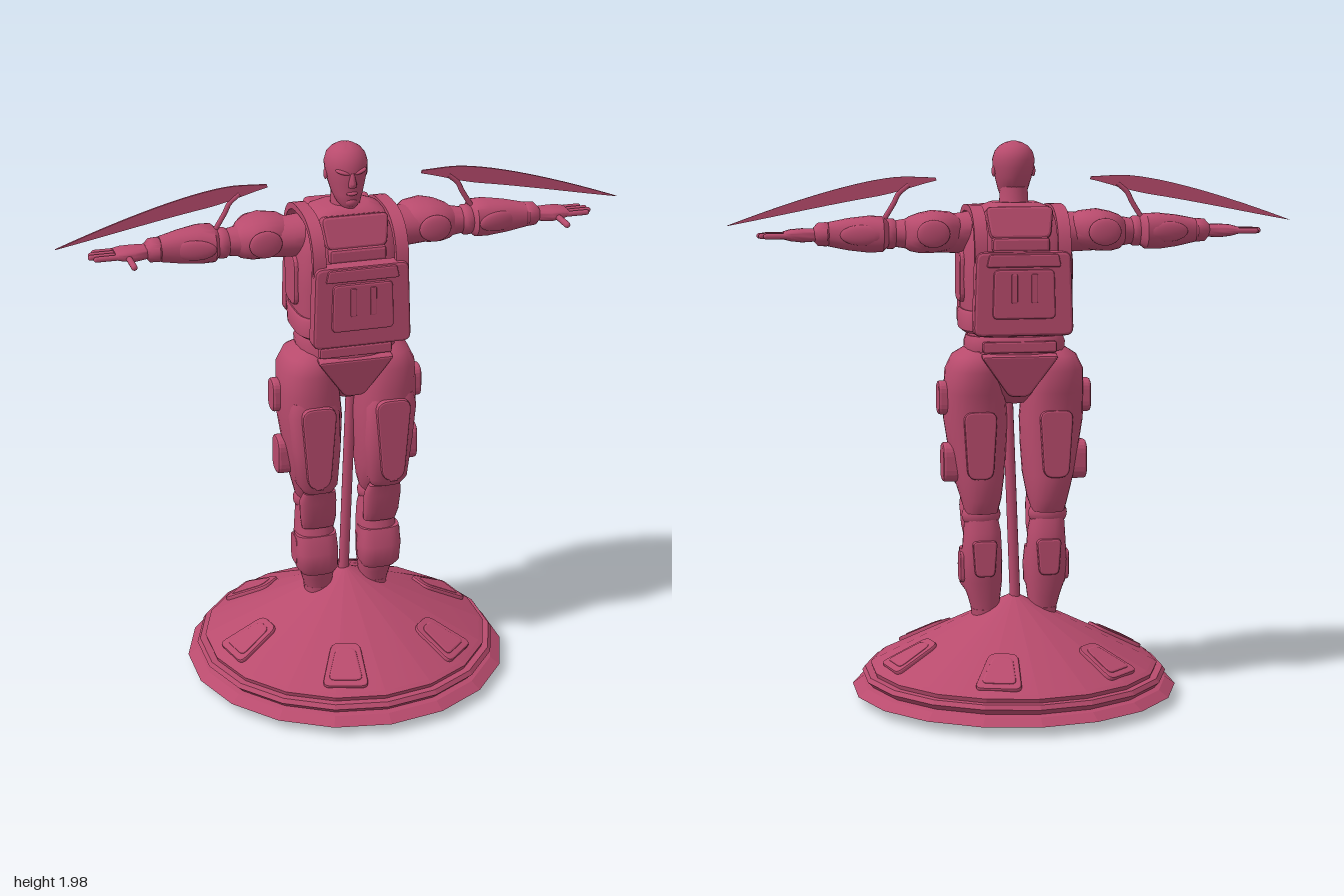
import * as THREE from 'three';
import { toCreasedNormals } from 'three/addons/utils/BufferGeometryUtils.js';

const crimson = new THREE.MeshStandardMaterial({ color: 0xb84b6d, side: THREE.DoubleSide });
crimson.name = 'crimson';

function add(parent, name, geometry, x = 0, y = 0, z = 0, rx = 0, ry = 0, rz = 0) {
  const mesh = new THREE.Mesh(geometry, crimson);
  mesh.name = name;
  mesh.position.set(x, y, z);
  mesh.rotation.set(rx, ry, rz);
  parent.add(mesh);
  return mesh;
}

// Closed skin over superellipse sections [along, cx, cz, rx, rz], in rising order of the first value
function loft(sections, power = 2, segments = 24) {
  const pos = [], index = [], n = segments;
  const bend = (v) => Math.sign(v) * Math.abs(v) ** (2 / power);
  for (const [y, cx, cz, rx, rz] of sections) {
    for (let j = 0; j < n; j++) {
      const t = (j / n) * Math.PI * 2;
      pos.push(cx + rx * bend(Math.cos(t)), y, cz + rz * bend(Math.sin(t)));
    }
  }
  for (let i = 0; i < sections.length - 1; i++) {
    for (let j = 0; j < n; j++) {
      const a = i * n + j, b = i * n + ((j + 1) % n);
      index.push(a, a + n, b, b, a + n, b + n);
    }
  }
  const top = (sections.length - 1) * n;
  for (let j = 1; j < n - 1; j++) index.push(0, j, j + 1, top, top + j + 1, top + j);
  const g = new THREE.BufferGeometry();
  g.setAttribute('position', new THREE.Float32BufferAttribute(pos, 3));
  g.setIndex(index);
  return toCreasedNormals(g, 0.8);
}

// Bevelled plate with rounded corners, back face on z = 0
function panel(bottom, top, height, depth, round = 0.02) {
  const p = [[-bottom, -height], [bottom, -height], [top, height], [-top, height]]
    .map(([x, y]) => new THREE.Vector2(x / 2, y / 2));
  const shape = new THREE.Shape();
  p.forEach((c, i) => {
    const before = c.clone().add(p[(i + 3) % 4].clone().sub(c).setLength(round));
    const after = c.clone().add(p[(i + 1) % 4].clone().sub(c).setLength(round));
    if (i) shape.lineTo(before.x, before.y); else shape.moveTo(before.x, before.y);
    shape.quadraticCurveTo(c.x, c.y, after.x, after.y);
  });
  shape.closePath();
  const b = Math.min(0.01, depth / 3);
  return new THREE.ExtrudeGeometry(shape, {
    depth: depth - b, bevelThickness: b, bevelSize: b, bevelOffset: -b, bevelSegments: 2, curveSegments: 5,
  });
}

function ball(r, sx = 1, sy = 1, sz = 1) {
  return new THREE.SphereGeometry(r, 20, 14).scale(sx, sy, sz);
}

function buildBase(root) {
  const base = new THREE.Group();
  base.name = 'base';
  // shallow dish below, stepped rim, cone above
  const profile = [[0, 0.19], [0.58, 0.035], [0.545, 0.06], [0.525, 0.065], [0.545, 0.085], [0.535, 0.1],
    [0.51, 0.1], [0.515, 0.115], [0.5, 0.125], [0, 0.372]].map(([r, y]) => new THREE.Vector2(r, y));
  add(base, 'coneDisc', toCreasedNormals(new THREE.LatheGeometry(profile, 18), 0.2));
  for (let i = 0; i < 6; i++) {
    const sector = new THREE.Group();
    sector.name = 'hatch';
    sector.rotation.y = THREE.MathUtils.degToRad(44 + 60 * i);
    add(sector, 'hatchFrame', panel(0.165, 0.1, 0.185, 0.018, 0.03), 0, 0.169, 0.39, -1.11);
    add(sector, 'hatchCover', panel(0.125, 0.07, 0.14, 0.022, 0.025), 0, 0.169, 0.39, -1.11);
    base.add(sector);
  }
  // support rod between the legs
  const path = new THREE.LineCurve3(new THREE.Vector3(0.022, 1.08, 0), new THREE.Vector3(-0.016, 0.005, -0.01));
  add(base, 'supportRod', new THREE.TubeGeometry(path, 1, 0.019, 12));
  root.add(base);
}

function buildHead(root) {
  add(root, 'neck', loft([[1.7, 0, -0.01, 0.065, 0.065], [1.75, 0, 0, 0.052, 0.055], [1.82, 0, 0, 0.048, 0.05]]));
  add(root, 'head', loft([[1.762, 0, 0.05, 0.022, 0.025], [1.78, 0, 0.038, 0.04, 0.047], [1.81, 0, 0.02, 0.053, 0.067],
    [1.85, 0, 0.012, 0.064, 0.078], [1.885, 0, 0.009, 0.072, 0.083], [1.913, 0, 0.006, 0.074, 0.083],
    [1.94, 0, 0.004, 0.066, 0.074], [1.959, 0, 0.004, 0.05, 0.056], [1.971, 0, 0.003, 0.028, 0.032],
    [1.976, 0, 0.003, 0.008, 0.01]]));
  add(root, 'nose', loft([[1.842, 0, 0.088, 0.014, 0.014], [1.855, 0, 0.09, 0.014, 0.018], [1.89, 0, 0.085, 0.007, 0.01]]));
  add(root, 'mouth', ball(0.02, 1, 0.35, 0.6), 0, 1.818, 0.083);
  add(root, 'chin', ball(0.024, 1, 0.8, 0.9), 0, 1.786, 0.068);
  for (const s of [-1, 1]) {
    add(root, 'brow', ball(0.024, 1.1, 0.32, 0.6), s * 0.03, 1.893, 0.077, 0, s * 0.35, s * 0.25);
    add(root, 'ear', ball(0.018, 0.4, 1.1, 0.7), s * 0.07, 1.872, 0.005);
  }
}

function buildTorso(root) {
  add(root, 'abdomen', loft([[1.23, 0, 0, 0.165, 0.125], [1.3, 0, 0, 0.165, 0.118], [1.34, 0, 0, 0.16, 0.12]], 2.6));
  add(root, 'vest', loft([[1.34, 0, 0, 0.18, 0.145], [1.5, 0, 0, 0.19, 0.152], [1.62, 0, 0, 0.185, 0.148],
    [1.7, 0, 0, 0.165, 0.125], [1.75, 0, 0, 0.12, 0.09], [1.765, 0, 0, 0.08, 0.07]], 3.6, 40));
  add(root, 'vestBand', loft([[1.315, 0, 0, 0.18, 0.143], [1.325, 0, 0, 0.192, 0.153], [1.385, 0, 0, 0.195, 0.156],
    [1.395, 0, 0, 0.188, 0.15]], 3.6, 40));
  add(root, 'belt', loft([[1.25, 0, -0.004, 0.176, 0.13], [1.28, 0, -0.008, 0.178, 0.13], [1.302, 0, -0.004, 0.17, 0.122]], 2.6));
  add(root, 'pelvis', loft([[1.06, 0, 0, 0.035, 0.05], [1.1, 0, 0, 0.075, 0.095], [1.16, 0, 0, 0.135, 0.125],
    [1.22, 0, 0, 0.175, 0.135], [1.26, 0, 0, 0.172, 0.13]], 2.4));
  // matching armour on chest and back
  for (const f of [1, -1]) {
    const half = new THREE.Group();
    half.name = f > 0 ? 'frontArmour' : 'backArmour';
    half.rotation.y = f > 0 ? 0 : Math.PI;
    add(half, 'mainPlate', panel(0.35, 0.33, 0.29, 0.048, 0.03), 0, 1.46, 0.164);
    add(half, 'pouch', panel(0.22, 0.21, 0.17, 0.02, 0.02), 0, 1.46, 0.202);
    add(half, 'pouchFlap', panel(0.26, 0.24, 0.045, 0.018, 0.01), 0, 1.575, 0.202);
    for (const x of [-0.035, 0.035]) add(half, 'pouchTab', panel(0.022, 0.022, 0.1, 0.01, 0.006), x, 1.48, 0.217);
    add(half, 'upperPlate', panel(0.21, 0.24, 0.115, 0.04, 0.025), 0, 1.69, 0.1, -0.3);
    add(half, 'lowerLip', panel(0.2, 0.2, 0.05, 0.03, 0.012), 0, 1.625, 0.135);
    add(half, 'groinPlate', panel(0.07, 0.28, 0.15, 0.035, 0.02), 0, 1.17, 0.1, 0.18);
    add(half, 'beltBuckle', panel(0.26, 0.26, 0.04, 0.02, 0.01), 0, 1.268, 0.118);
    root.add(half);
  }
  // shoulder straps, an arch with thickness run across the strap's width
  const arch = (z, h) => Array.from({ length: 25 }, (_, i) => {
    const t = (i / 24) * Math.PI;
    return new THREE.Vector2(Math.sign(Math.cos(t)) * z * Math.abs(Math.cos(t)) ** 0.75, 1.57 + h * Math.sin(t) ** 0.75);
  });
  const strapShape = new THREE.Shape([...arch(0.2, 0.187), ...arch(0.178, 0.165).reverse()]);
  const strap = toCreasedNormals(new THREE.ExtrudeGeometry(strapShape, { depth: 0.045, bevelEnabled: false }), 0.6);
  for (const s of [-1, 1]) {
    add(root, 'shoulderStrap', strap, s * 0.145 - 0.0225, 0, 0, 0, Math.PI / 2);
    add(root, 'sidePanel', panel(0.13, 0.13, 0.18, 0.025, 0.045), s * 0.175, 1.51, 0, 0, s * Math.PI / 2);
  }
}

function buildArm(root, s) {
  const arm = new THREE.Group();
  arm.name = s > 0 ? 'leftArm' : 'rightArm';
  // sections are [x, height offset, z, half height, half depth]
  const limb = (name, rows, power) => add(arm, name,
    loft(rows.map(([x, up, z, ry, rz]) => [x, -s * up, z, ry, rz]), power), 0, 1.658, 0, 0, 0, -s * Math.PI / 2);
  limb('upperArm', [[0.13, 0.01, 0, 0.07, 0.08], [0.2, 0, -0.005, 0.07, 0.085], [0.3, 0, -0.015, 0.065, 0.085],
    [0.38, 0, -0.005, 0.052, 0.058], [0.44, 0, 0, 0.042, 0.045], [0.49, 0, 0, 0.042, 0.045]]);
  limb('shoulderGuard', [[0.2, 0.01, -0.02, 0.05, 0.065], [0.23, 0.01, -0.025, 0.066, 0.09],
    [0.29, 0.008, -0.026, 0.074, 0.113], [0.335, 0.003, -0.024, 0.07, 0.105], [0.37, 0, -0.015, 0.06, 0.075],
    [0.39, 0, -0.005, 0.045, 0.05]], 2.3);
  limb('elbow', [[0.41, 0, 0, 0.04, 0.045], [0.425, 0, 0, 0.053, 0.056], [0.445, 0, 0, 0.053, 0.056], [0.46, 0, 0, 0.042, 0.045]]);
  limb('forearmGuard', [[0.445, 0, -0.01, 0.045, 0.05], [0.465, 0, -0.012, 0.062, 0.078], [0.51, 0, -0.012, 0.064, 0.074],
    [0.58, 0, -0.004, 0.056, 0.058], [0.65, 0, 0.005, 0.042, 0.044]], 2.4);
  limb('wrist', [[0.64, 0, 0.005, 0.032, 0.036], [0.655, 0, 0.005, 0.042, 0.05], [0.685, 0, 0.005, 0.04, 0.047], [0.7, 0, 0.005, 0.024, 0.034]]);
  limb('palm', [[0.69, -0.002, 0.005, 0.022, 0.034], [0.74, -0.003, 0.01, 0.024, 0.047], [0.78, -0.002, 0.006, 0.02, 0.048],
    [0.805, -0.002, 0.004, 0.013, 0.044]], 2.6);
  for (let i = 0; i < 4; i++) {
    const length = [0.075, 0.09, 0.095, 0.08][i];
    add(arm, 'finger', new THREE.CapsuleGeometry(0.01, length, 4, 8), s * (0.79 + length / 2), 1.655, -0.032 + i * 0.024, 0, 0, Math.PI / 2);
  }
  add(arm, 'thumb', new THREE.CapsuleGeometry(0.011, 0.09, 4, 8), s * 0.762, 1.65, 0.09, Math.PI / 2);
  for (const f of [1, -1]) {
    const pad = ball(0.05, 1.15, 0.95, 0.3);
    add(arm, 'shoulderPad', pad, s * 0.3, 1.664, -0.025 + f * 0.105);
    add(arm, 'forearmPad', ball(0.05, 1.5, 0.7, 0.3), s * 0.54, 1.658, -0.008 + f * 0.06, 0, s * f * 0.2);
  }

  // curved blade on its strut
  const blade = new THREE.Shape();
  blade.moveTo(s, 1.69);
  blade.bezierCurveTo(s * 0.8, 1.765, s * 0.5, 1.862, s * 0.36, 1.854);
  blade.lineTo(s * 0.275, 1.85);
  blade.lineTo(s * 0.272, 1.84);
  blade.bezierCurveTo(s * 0.34, 1.826, s * 0.4, 1.8, s * 0.5, 1.784);
  blade.bezierCurveTo(s * 0.65, 1.76, s * 0.85, 1.717, s, 1.69);
  add(arm, 'blade', new THREE.ExtrudeGeometry(blade, { depth: 0.008, bevelEnabled: false, curveSegments: 16 }), 0, 0, -0.004);
  const strutPath = new THREE.CatmullRomCurve3([[0.37, 1.825], [0.405, 1.795], [0.42, 1.765], [0.46, 1.7]]
    .map(([x, y]) => new THREE.Vector3(s * x, y, 0)));
  add(arm, 'bladeStrut', new THREE.TubeGeometry(strutPath, 12, 0.009, 8));
  root.add(arm);
}

function buildLeg(root, s) {
  const leg = new THREE.Group();
  leg.name = s > 0 ? 'leftLeg' : 'rightLeg';
  const limb = (name, rows, power) => add(leg, name, loft(rows.map(([y, x, z, rx, rz]) => [y, s * x, z, rx, rz]), power));
  limb('thigh', [[0.67, 0.12, -0.02, 0.058, 0.055], [0.72, 0.12, -0.005, 0.072, 0.095], [0.8, 0.125, 0.014, 0.09, 0.117],
    [0.9, 0.13, 0.016, 0.102, 0.122], [1, 0.136, 0.016, 0.112, 0.124], [1.1, 0.14, 0.01, 0.108, 0.128],
    [1.18, 0.142, 0, 0.102, 0.135], [1.23, 0.135, 0, 0.085, 0.118], [1.262, 0.12, 0, 0.05, 0.07]], 2.3);
  limb('thighGuard', [[0.73, 0.125, 0.07, 0.055, 0.05], [0.76, 0.128, 0.075, 0.072, 0.066], [0.9, 0.132, 0.077, 0.087, 0.068],
    [1.03, 0.14, 0.078, 0.092, 0.066], [1.08, 0.145, 0.074, 0.078, 0.055]], 3.2);
  add(leg, 'thighPlate', panel(0.08, 0.13, 0.31, 0.02, 0.045), s * 0.135, 0.915, 0.133);
  add(leg, 'rearThighPlate', panel(0.09, 0.12, 0.24, 0.02, 0.035), s * 0.135, 0.92, -0.096, 0, Math.PI);
  add(leg, 'upperSidePouch', panel(0.08, 0.08, 0.12, 0.055, 0.039), s * 0.218, 1.08, 0, 0, s * Math.PI / 2);
  add(leg, 'lowerSidePouch', panel(0.095, 0.095, 0.14, 0.05, 0.045), s * 0.208, 0.85, 0, 0, s * Math.PI / 2);
  add(leg, 'kneeJoint', ball(0.05, 1.4, 1, 1), s * 0.12, 0.66, -0.015);
  limb('kneeGuard', [[0.57, 0.115, 0.045, 0.058, 0.025], [0.61, 0.117, 0.055, 0.064, 0.034], [0.68, 0.12, 0.065, 0.066, 0.034],
    [0.725, 0.12, 0.088, 0.058, 0.022]], 3);
  limb('shin', [[0.3, 0.104, 0, 0.045, 0.05], [0.36, 0.108, 0.003, 0.058, 0.06], [0.42, 0.115, 0.008, 0.072, 0.076],
    [0.49, 0.117, 0.003, 0.074, 0.078], [0.55, 0.116, -0.008, 0.069, 0.07], [0.6, 0.116, -0.01, 0.066, 0.064],
    [0.66, 0.12, -0.012, 0.058, 0.045]], 2.4);
  limb('shinGuard', [[0.385, 0.114, 0.025, 0.062, 0.052], [0.405, 0.116, 0.03, 0.074, 0.062], [0.47, 0.118, 0.03, 0.078, 0.062],
    [0.535, 0.118, 0.02, 0.074, 0.05]], 3);
  add(leg, 'calfPlate', panel(0.07, 0.09, 0.13, 0.022, 0.02), s * 0.115, 0.51, -0.062, 0, Math.PI);
  add(leg, 'sideShinPlate', panel(0.07, 0.08, 0.11, 0.018, 0.025), s * 0.178, 0.47, 0.005, 0, s * Math.PI / 2);
  // boot reaching down through the hollow base
  limb('boot', [[0.03, 0.1, 0.09, 0.05, 0.15], [0.07, 0.1, 0.085, 0.052, 0.14], [0.11, 0.1, 0.055, 0.048, 0.105],
    [0.17, 0.1, 0.01, 0.043, 0.062], [0.24, 0.103, 0, 0.042, 0.05], [0.32, 0.105, 0, 0.05, 0.055]], 2.4);
  limb('sole', [[0, 0.1, 0.145, 0.048, 0.095], [0.035, 0.1, 0.145, 0.052, 0.098]], 2.6);
  limb('heel', [[0, 0.1, -0.02, 0.036, 0.038], [0.04, 0.1, -0.02, 0.042, 0.042]], 2.6);
  root.add(leg);
}

export function createModel() {
  const root = new THREE.Group();
  root.name = 'armouredFigure';
  buildBase(root);
  buildTorso(root);
  buildHead(root);
  for (const s of [1, -1]) {
    buildArm(root, s);
    buildLeg(root, s);
  }
  return root;
}
